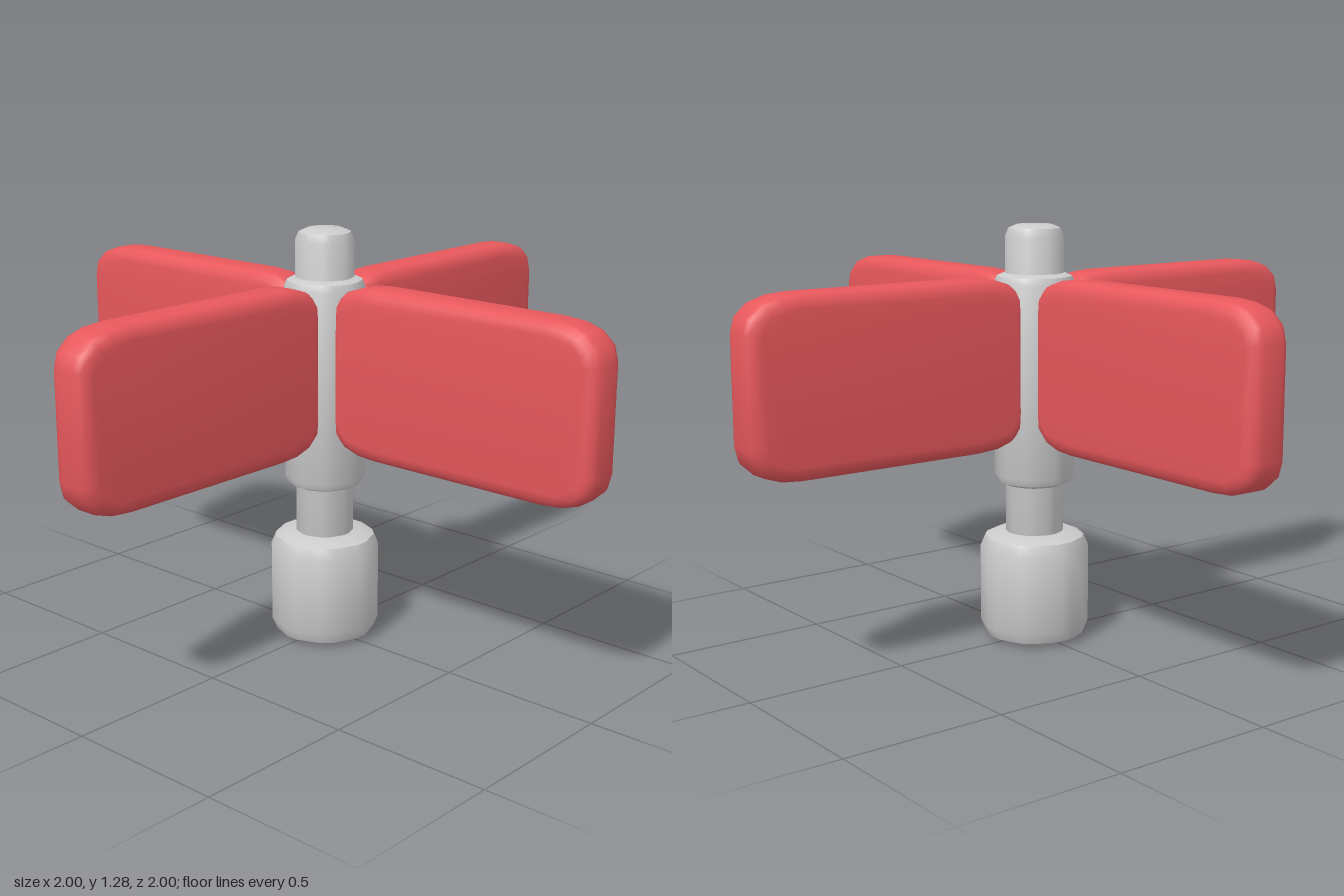
import * as THREE from 'three';
import { toCreasedNormals } from 'three/addons/utils/BufferGeometryUtils.js';

const grey = new THREE.MeshStandardMaterial({ color: 0xcccccc });
const red = new THREE.MeshStandardMaterial({ color: 0xe8585c });

// Eight-sided post with softened vertical edges and rounded rims
function post(name, r, y0, y1, bevel) {
  const b = bevel;
  const profile = [
    [0, y0], [r - b, y0], [r - b * 0.3, y0 + b * 0.3], [r, y0 + b],
    [r, y1 - b], [r - b * 0.3, y1 - b * 0.3], [r - b, y1], [0, y1],
  ].map(([x, y]) => new THREE.Vector2(x, y));
  const geo = new THREE.LatheGeometry(profile, 16);
  const pos = geo.attributes.position;
  const half = THREE.MathUtils.degToRad(8);
  for (let k = 0; k < pos.count; k++) {
    // Pull the sixteen columns into pairs, one pair per octagon corner
    const i = Math.floor(k / profile.length);
    const p = profile[k % profile.length];
    const a = Math.floor((i + 1) / 2) * Math.PI / 4 + (i % 2 ? -half : half);
    pos.setXYZ(k, Math.sin(a) * p.x, p.y, Math.cos(a) * p.x);
  }
  const mesh = new THREE.Mesh(toCreasedNormals(geo, 0.75), grey);
  mesh.name = name;
  return mesh;
}

// Rounded slab running outward along +x
function bladeGeometry() {
  const bevel = 0.04, depth = 0.035;
  const x0 = 0.07 + bevel, x1 = 1 - bevel, y0 = 0.615 + bevel, y1 = 1.135 - bevel;
  const cx = 0.13, cy = 0.07;
  const s = new THREE.Shape();
  s.moveTo(x0 + cx, y0);
  s.lineTo(x1 - cx, y0);
  s.quadraticCurveTo(x1, y0, x1, y0 + cy);
  s.lineTo(x1, y1 - cy);
  s.quadraticCurveTo(x1, y1, x1 - cx, y1);
  s.lineTo(x0 + cx, y1);
  s.quadraticCurveTo(x0, y1, x0, y1 - cy);
  s.lineTo(x0, y0 + cy);
  s.quadraticCurveTo(x0, y0, x0 + cx, y0);
  const geo = new THREE.ExtrudeGeometry(s, {
    depth: 0.134 - 2 * depth, bevelEnabled: true, bevelThickness: depth,
    bevelSize: bevel, bevelSegments: 3, curveSegments: 4,
  });
  geo.translate(0, 0, -(0.134 - 2 * depth) / 2);
  return toCreasedNormals(geo, 0.9);
}

export function createModel() {
  const model = new THREE.Group();
  model.name = 'bladedRotor';

  // Central column
  model.add(post('base', 0.168, 0, 0.34, 0.05));
  model.add(post('shaft', 0.089, 0.2, 1.285, 0.035));
  model.add(post('hub', 0.123, 0.49, 1.14, 0.03));

  // Four blades around the hub
  const geo = bladeGeometry();
  for (let i = 0; i < 4; i++) {
    const blade = new THREE.Mesh(geo, red);
    blade.name = 'blade' + (i + 1);
    blade.rotation.y = i * Math.PI / 2;
    model.add(blade);
  }
  return model;
}
